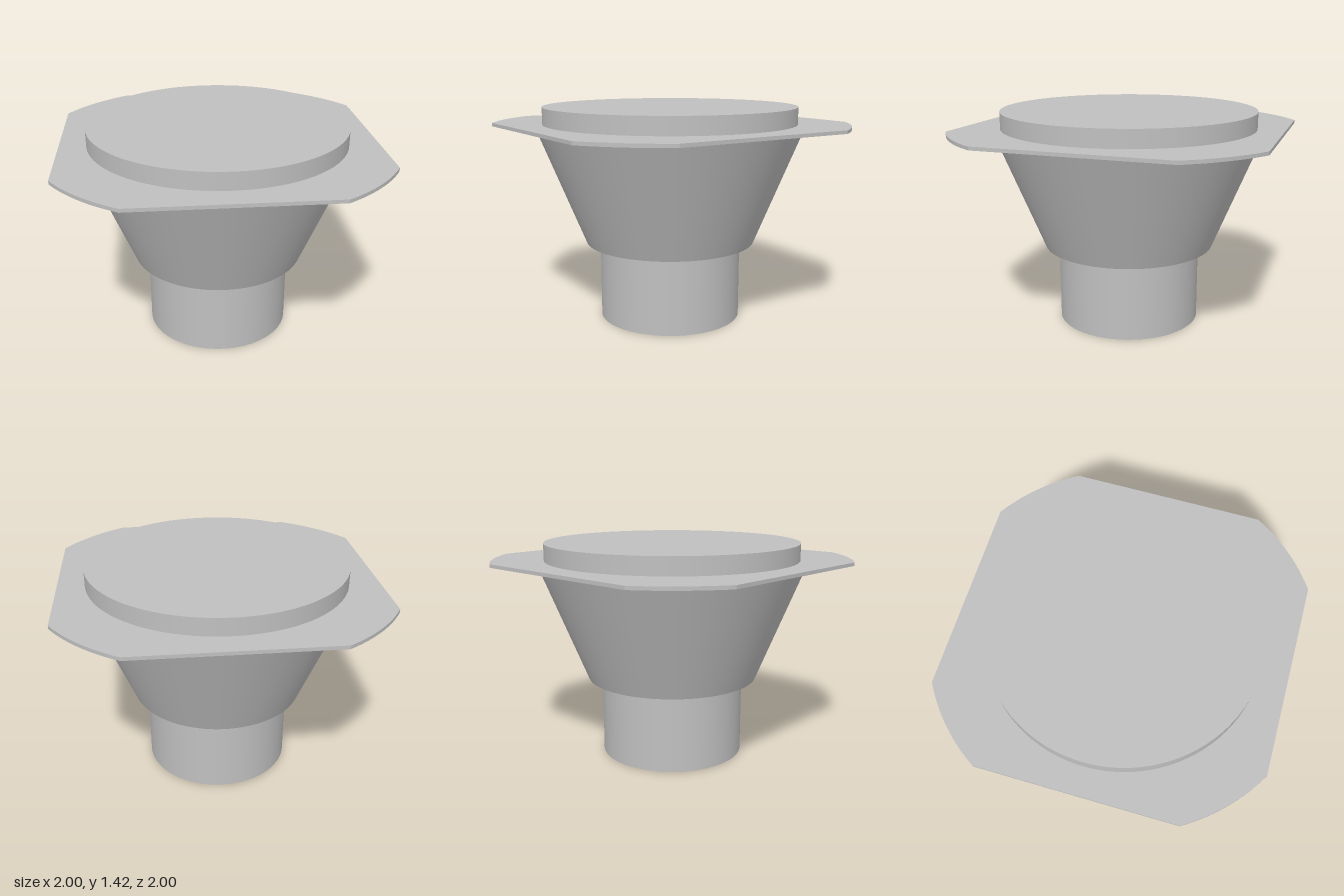
import * as THREE from 'three';

export function createModel() {
  const model = new THREE.Group();
  const grey = new THREE.MeshStandardMaterial({ color: 0xc0c0c0 });
  grey.name = 'light grey';

  function add(name, geometry, y) {
    const mesh = new THREE.Mesh(geometry, grey);
    mesh.name = name;
    mesh.position.y = y;
    model.add(mesh);
  }
  // Round section standing between two heights
  function round(name, rTop, rBottom, y0, y1) {
    add(name, new THREE.CylinderGeometry(rTop, rBottom, y1 - y0, 96), (y0 + y1) / 2);
  }

  round('spigot', 0.472, 0.472, 0, 0.52);
  round('taperedBody', 0.877, 0.565, 0.517, 1.288);
  round('topDisc', 0.832, 0.832, 1.308, 1.42);

  // Square flange with its corners trimmed to a circle
  const outline = new THREE.Shape();
  const radius = Math.hypot(1, 0.6);
  const a = Math.atan2(0.6, 1);
  for (let i = 0; i < 4; i++) {
    const turn = i * Math.PI / 2;
    outline.absarc(0, 0, radius, turn + a, turn + Math.PI / 2 - a, false);
  }
  outline.closePath();
  const flange = new THREE.ExtrudeGeometry(outline, { depth: 0.022, bevelEnabled: false, curveSegments: 12 });
  flange.rotateX(-Math.PI / 2);
  add('flange', flange, 1.287);

  return model;
}
